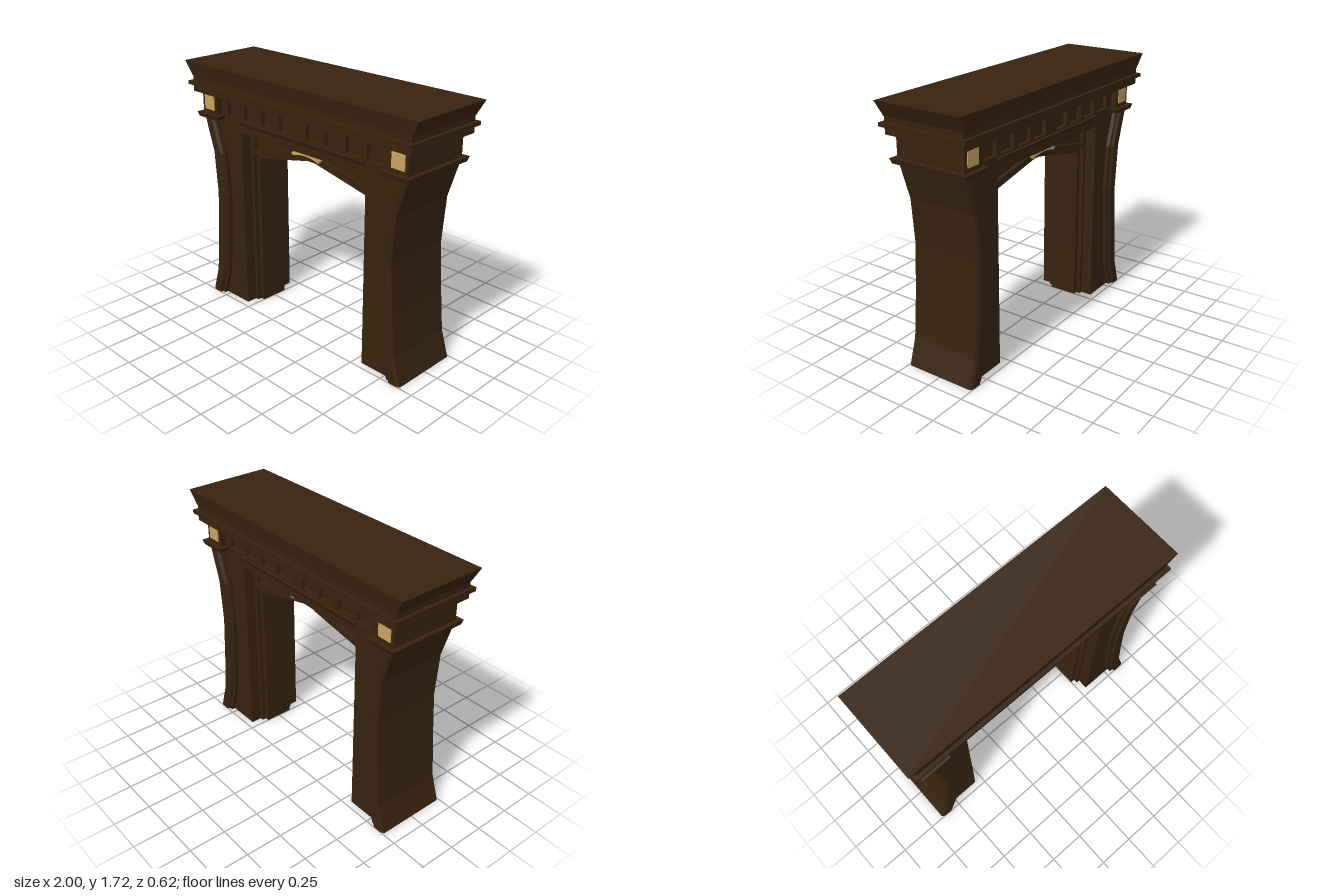
import * as THREE from 'three';

const wood = new THREE.MeshStandardMaterial({ color: 0x38230f });
wood.name = 'dark wood';
const gold = new THREE.MeshStandardMaterial({ color: 0xc8a560 });
gold.name = 'antique gold';

function createModel() {
  const group = new THREE.Group();

  const add = (name, geometry, material = wood) => {
    const mesh = new THREE.Mesh(geometry, material);
    mesh.name = name;
    group.add(mesh);
    return mesh;
  };

  // Box given by its limits; grow flares the top edge outwards
  const block = (name, x0, x1, y0, y1, z, growX = 0, growZ = 0, material = wood) => {
    const g = new THREE.BoxGeometry(x1 - x0, y1 - y0, 2 * z).toNonIndexed();
    const p = g.attributes.position;
    for (let i = 0; i < p.count; i++) {
      if (p.getY(i) > 0) {
        p.setX(i, p.getX(i) + Math.sign(p.getX(i)) * growX);
        p.setZ(i, p.getZ(i) + Math.sign(p.getZ(i)) * growZ);
      }
    }
    g.computeVertexNormals();
    g.translate((x0 + x1) / 2, (y0 + y1) / 2, 0);
    return add(name, g, material);
  };

  // Plate extruded through the whole thickness, centred on z = 0
  const plate = (name, outline, z, holes = [], material = wood) => {
    const toPoints = (list) => list.map(([x, y]) => new THREE.Vector2(x, y));
    const shape = new THREE.Shape(toPoints(outline));
    holes.forEach((h) => shape.holes.push(new THREE.Path(toPoints(h))));
    const g = new THREE.ExtrudeGeometry(shape, { depth: 2 * z, bevelEnabled: false });
    g.translate(0, 0, -z);
    return add(name, g, material);
  };

  // Bowed legs with a raised moulded strip along the outer edge of each face
  const legCurve = [[0, 0.9], [0.18, 0.845], [0.45, 0.82], [0.8, 0.796], [1.1, 0.82], [1.35, 0.9]];
  const section = (o) => {
    const half = [
      [0.555, 0.205], [o - 0.115, 0.205], [o - 0.115, 0.232], [o - 0.095, 0.232],
      [o - 0.08, 0.25], [o - 0.02, 0.25], [o, 0.237],
    ];
    return [...half, ...half.map(([x, z]) => [x, -z]).reverse()];
  };
  const legGeometry = () => {
    const rings = legCurve.map(([y, o]) => section(o).map(([x, z]) => new THREE.Vector3(x, y, z)));
    const tris = [];
    for (let r = 0; r < rings.length - 1; r++) {
      const a = rings[r], b = rings[r + 1], n = a.length;
      for (let i = 0; i < n; i++) {
        const j = (i + 1) % n;
        tris.push(a[i], a[j], b[j], a[i], b[j], b[i]);
      }
    }
    const foot = rings[0];
    const flat = foot.map((v) => new THREE.Vector2(v.x, -v.z));
    THREE.ShapeUtils.triangulateShape(flat, []).forEach(([i, j, k]) => tris.push(foot[i], foot[k], foot[j]));
    const g = new THREE.BufferGeometry().setFromPoints(tris);
    g.computeVertexNormals();
    return g;
  };
  add('leftLeg', legGeometry());
  add('rightLeg', legGeometry()).rotation.y = Math.PI;

  // Arched opening made of two stepped layers; spandrel panels are sunk in the outer one
  const archOutline = (w, spring, peak) => [
    [-0.56, 0], [-w, 0], [-w, spring], [-0.03, peak], [0.03, peak], [w, spring],
    [w, 0], [0.56, 0], [0.56, 1.29], [-0.56, 1.29],
  ];
  const spandrel = (s) => [[s * 0.52, 1.255], [s * 0.52, 1.16], [s * 0.1, 1.24], [s * 0.1, 1.255]];
  plate('outerArch', archOutline(0.53, 1.12, 1.215), 0.13, [spandrel(1), spandrel(-1)]);
  plate('innerArch', archOutline(0.5, 1.09, 1.19), 0.1);

  // Gilded crescent over the peak of the arch
  const crescent = [];
  for (let i = 0; i <= 10; i++) {
    const x = 0.125 - 0.025 * i;
    crescent.push([x, 1.279 - 0.037 * (x / 0.125) ** 2]);
  }
  for (let i = 0; i <= 10; i++) {
    const x = -0.115 + 0.023 * i;
    crescent.push([x, 1.243 - 0.02 * (x / 0.115) ** 2]);
  }
  plate('archOrnament', crescent, 0.155, [], gold);

  // Lintel with a thin ledge moulding
  block('lintel', -0.76, 0.76, 1.28, 1.375, 0.205);
  block('lintelLedge', -0.555, 0.555, 1.335, 1.365, 0.215, 0, 0.012);

  // Frieze with eight sunken panels between upright stiles
  block('friezeCore', -0.8, 0.8, 1.37, 1.515, 0.175);
  const panels = [-0.625, -0.457, -0.287, -0.123, 0.123, 0.287, 0.457, 0.625];
  const edges = [-0.77, ...panels.flatMap((c) => [c - 0.065, c + 0.065]), 0.77];
  for (let i = 0; i < edges.length; i += 2) {
    block('friezeStile', edges[i], edges[i + 1], 1.37, 1.515, 0.205);
  }

  // Capitals, corner blocks and gilded squares
  for (const s of [-1, 1]) {
    const span = (a, b) => (s > 0 ? [a, b] : [-b, -a]);
    block('capital', ...span(0.73, 0.922), 1.338, 1.37, 0.268, 0.01, 0.01);
    block('cornerBlock', ...span(0.755, 0.9), 1.365, 1.515, 0.245);
    block('cornerSquare', ...span(0.78, 0.877), 1.397, 1.493, 0.25, 0, 0, gold);
  }

  // Stepped cornice and flared mantel top
  block('corniceBase', -0.945, 0.945, 1.512, 1.562, 0.285);
  block('corniceFillet', -0.97, 0.97, 1.56, 1.584, 0.309);
  block('corniceNeck', -0.945, 0.945, 1.582, 1.622, 0.285);
  block('mantelTop', -0.948, 0.948, 1.62, 1.717, 0.287, 0.052, 0.016);

  return group;
}

export { createModel };
